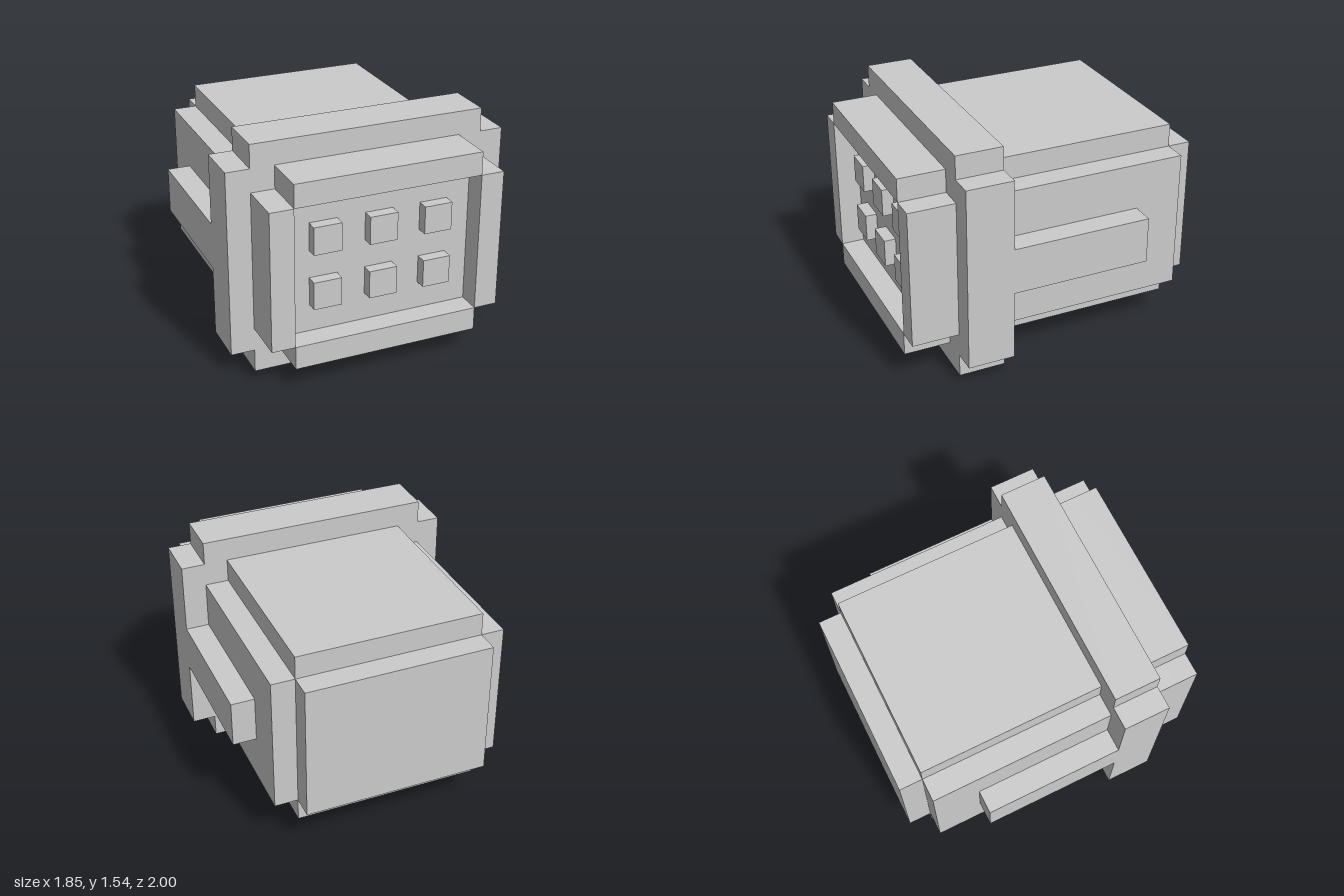
import * as THREE from 'three';

const U = 2 / 13; // the model sits on a regular block grid
const MID = 5 * U; // height of the centre line

export function createModel() {
  const model = new THREE.Group();
  const material = new THREE.MeshStandardMaterial({ color: 0xcccccc, flatShading: true });

  const add = (name, geometry, x, y, z) => {
    const mesh = new THREE.Mesh(geometry, material);
    mesh.name = name;
    mesh.position.set(x, y, z);
    model.add(mesh);
  };

  // Box centred on x, y (in grid units from the centre line), spanning z0 to z1
  const block = (name, w, h, x, y, z0, z1) =>
    add(name, new THREE.BoxGeometry(w * U, h * U, (z1 - z0) * U), x * U, MID + y * U, (z0 + z1) / 2 * U);

  // Rectangle with a one-unit square notch at each corner, extruded from z0 to z1
  const notched = (name, halfW, halfH, z0, z1) => {
    const a = halfW * U, b = halfH * U, c = a - U, d = b - U;
    const shape = new THREE.Shape([
      [a, -d], [a, d], [c, d], [c, b], [-c, b], [-c, d],
      [-a, d], [-a, -d], [-c, -d], [-c, -b], [c, -b], [c, -d],
    ].map(([x, y]) => new THREE.Vector2(x, y)));
    const geometry = new THREE.ExtrudeGeometry(shape, { depth: (z1 - z0) * U, bevelEnabled: false });
    add(name, geometry, 0, MID, z0 * U);
  };

  // Main body, surrounding collar and raised rear panel
  notched('body', 5, 4, -5.5, 5.5);
  notched('collar', 6, 5, 2.5, 4.5);
  block('backPanel', 8, 6, 0, 0, -6.5, -5.5);

  // Raised front rim and side arms, mirrored about the centre
  for (const s of [-1, 1]) {
    block(s > 0 ? 'topRim' : 'bottomRim', 8, 1, 0, s * 3.5, 5.5, 6.5);
    block(s > 0 ? 'leftRim' : 'rightRim', 1, 6, s * 4.5, 0, 5.5, 6.5);
    block(s > 0 ? 'leftArm' : 'rightArm', 1, 2, s * 5.5, 0, -3.5, 2.5);
  }

  // Two rows of three buttons inside the front recess
  for (const row of [-1, 1]) {
    for (const column of [-1, 0, 1]) {
      block('button', 1.2, 1.2, column * 2.4, row * 1.2, 5.5, 6);
    }
  }

  return model;
}
